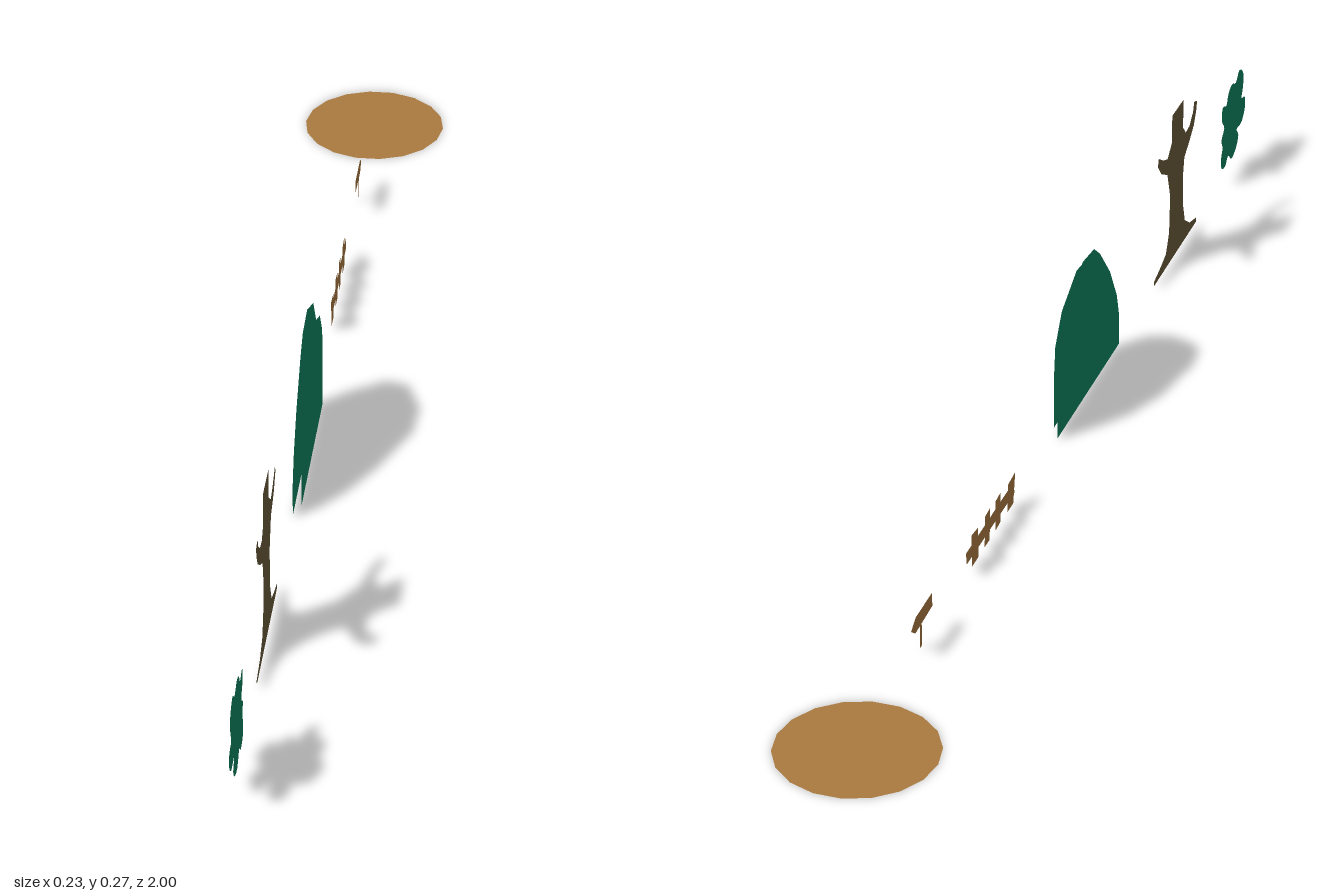
import * as THREE from 'three';

const flat = (name, color) => {
  const m = new THREE.MeshStandardMaterial({ color, side: THREE.DoubleSide });
  m.name = name;
  return m;
};

export function createModel() {
  const root = new THREE.Group();
  const green = flat('leaf green', 0x0e845f);
  const bark = flat('bark brown', 0x6b5b3b);
  const tan = flat('tan wood', 0xab7a40);

  // Upright flat cutout in the plane x = const, outlined by [z, y] pairs
  function cutout(name, material, points, { x = 0, smooth = false, parent = root } = {}) {
    let pts = points.map(([z, y]) => new THREE.Vector2(-z, y));
    if (smooth) {
      const curve = new THREE.CatmullRomCurve3(pts.map(p => new THREE.Vector3(p.x, p.y, 0)), true);
      pts = curve.getPoints(pts.length * 3).slice(0, -1).map(p => new THREE.Vector2(p.x, p.y));
    }
    const geo = new THREE.ShapeGeometry(new THREE.Shape(pts));
    geo.rotateY(Math.PI / 2);
    const mesh = new THREE.Mesh(geo, material);
    mesh.name = name;
    mesh.position.x = x;
    parent.add(mesh);
    return mesh;
  }

  function group(name) {
    const g = new THREE.Group();
    g.name = name;
    root.add(g);
    return g;
  }

  // Lobed bush
  cutout('bush', green, [
    [0.985, 0.155], [0.96, 0.172], [0.94, 0.158], [0.915, 0.166], [0.895, 0.157],
    [0.885, 0.141], [0.863, 0.147], [0.858, 0.125], [0.874, 0.104], [0.858, 0.088],
    [0.866, 0.07], [0.858, 0.055], [0.862, 0.034], [0.885, 0.028], [0.9, 0.04],
    [0.922, 0.024], [0.952, 0.034], [0.962, 0.05], [0.95, 0.066], [0.98, 0.066],
    [1.0, 0.085], [0.997, 0.106], [0.977, 0.112], [0.985, 0.13],
  ], { smooth: true });

  // Bare tree with two branches and a flared foot
  cutout('tree', bark, [
    [0.713, 0.008], [0.713, 0.016], [0.676, 0.025], [0.648, 0.043], [0.636, 0.078],
    [0.633, 0.13], [0.64, 0.162], [0.667, 0.178], [0.692, 0.196], [0.704, 0.216],
    [0.708, 0.232], [0.692, 0.238], [0.686, 0.222], [0.667, 0.206], [0.646, 0.204],
    [0.63, 0.22], [0.63, 0.27], [0.568, 0.27], [0.568, 0.222], [0.545, 0.204],
    [0.523, 0.212], [0.496, 0.228], [0.492, 0.215], [0.513, 0.192], [0.545, 0.176],
    [0.562, 0.13], [0.559, 0.065], [0.543, 0.034], [0.513, 0.024], [0.479, 0.016], [0.479, 0.008],
  ]);

  // Hill: back panel with a smaller copy set just in front
  const hill = group('hill');
  const hillOutline = [
    [0.29, 0.002], [0.29, 0.055], [0.278, 0.095], [0.242, 0.155], [0.19, 0.213],
    [0.16, 0.236], [0.105, 0.242], [0.025, 0.205], [-0.01, 0.155], [-0.018, 0.09], [-0.018, 0.002],
  ];
  cutout('hillBack', green, hillOutline, { parent: hill });
  cutout('hillFront', green,
    hillOutline.map(([z, y]) => [0.136 + (z - 0.136) * 0.9, 0.008 + y * 0.89]),
    { x: 0.011, parent: hill });

  // Fence: four crooked pickets and a rail
  const fence = group('fence');
  const pickets = [
    [[-0.217, 0.056], [-0.249, 0.053], [-0.254, 0.008], [-0.227, 0.008]],
    [[-0.284, 0.059], [-0.306, 0.057], [-0.308, 0.008], [-0.284, 0.01]],
    [[-0.33, 0.06], [-0.353, 0.058], [-0.356, 0.008], [-0.334, 0.008]],
    [[-0.385, 0.058], [-0.412, 0.061], [-0.412, 0.008], [-0.383, 0.008]],
  ];
  pickets.forEach(p => cutout('picket', tan, p, { parent: fence }));
  cutout('rail', tan, [[-0.222, 0.043], [-0.437, 0.045], [-0.434, 0.025], [-0.222, 0.023]], { parent: fence });

  // Arrow signpost
  const sign = group('signpost');
  cutout('signBoard', tan, [
    [-0.58, 0.066], [-0.648, 0.066], [-0.667, 0.054], [-0.65, 0.041], [-0.58, 0.044],
  ], { parent: sign });
  cutout('signPost', tan, [[-0.624, 0.045], [-0.632, 0.045], [-0.632, 0.006], [-0.624, 0.006]], { parent: sign });

  // Round ground patch
  const patch = new THREE.Mesh(new THREE.CircleGeometry(0.116, 18).rotateX(-Math.PI / 2), tan);
  patch.name = 'groundPatch';
  patch.position.z = -0.884;
  root.add(patch);

  return root;
}
